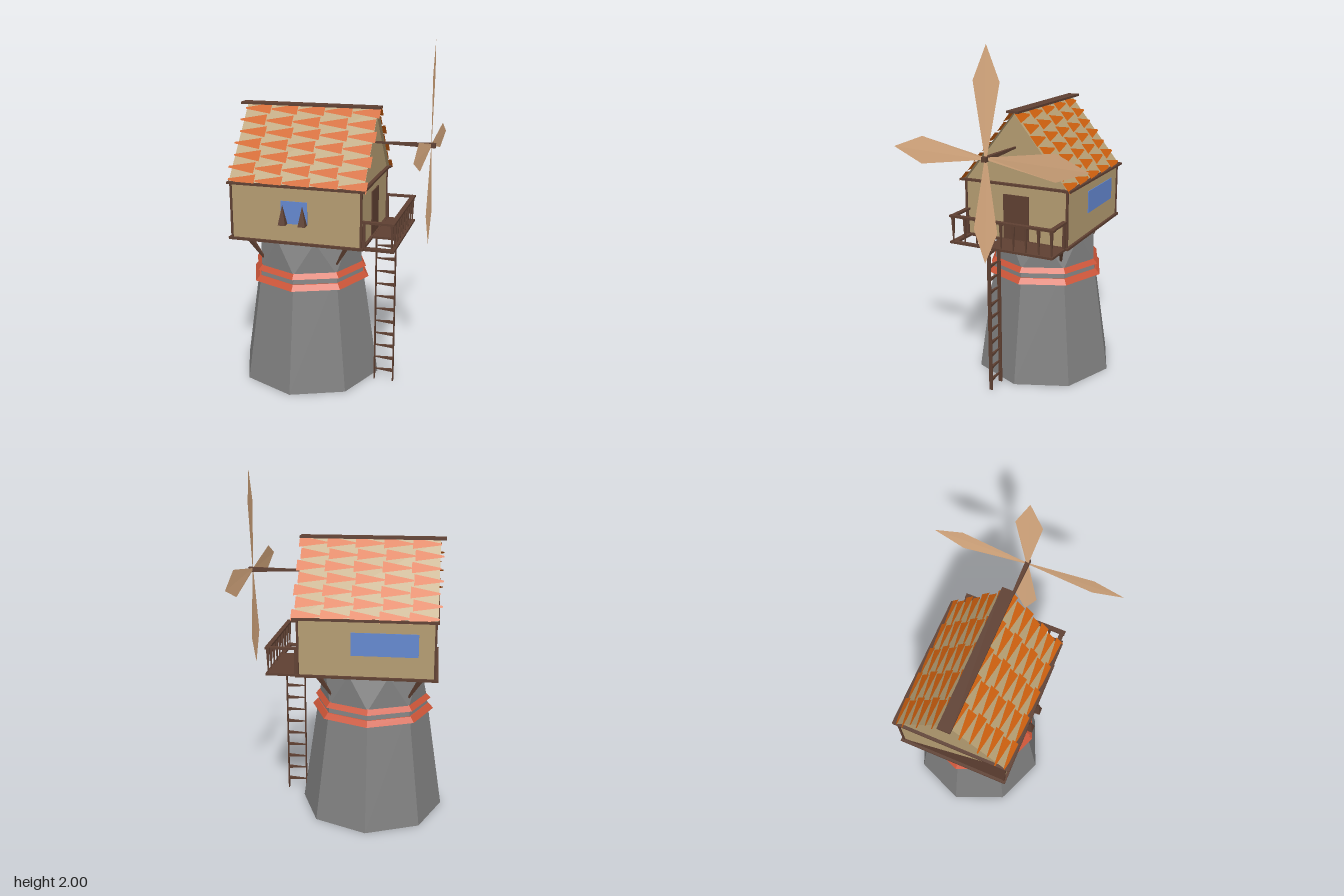
import * as THREE from 'three';

const mat = (color) => new THREE.MeshStandardMaterial({ color, flatShading: true, side: THREE.DoubleSide });
const STONE = mat(0x808080), RED = mat(0xcc5538), WALL = mat(0xb59d72), BROWN = mat(0x5f4032);
const TILE = mat(0xd2620f), ROOF = mat(0xbaa276), SAIL = mat(0xe0b084), GLASS = mat(0x6488d0);
const CX = -0.155; // tower axis

export function createModel() {
  const root = new THREE.Group();

  const add = (name, geo, material, parent = root) => {
    const m = new THREE.Mesh(geo, material);
    m.name = name;
    parent.add(m);
    return m;
  };
  // Box given by its min and max corners
  const box = (name, material, x0, x1, y0, y1, z0, z1) => {
    const m = add(name, new THREE.BoxGeometry(x1 - x0, y1 - y0, z1 - z0), material);
    m.position.set((x0 + x1) / 2, (y0 + y1) / 2, (z0 + z1) / 2);
    return m;
  };
  // Tapered four-sided bar between two points
  const bar = (name, material, a, b, ra, rb) => {
    const p = new THREE.Vector3(...a), q = new THREE.Vector3(...b), d = q.clone().sub(p);
    const m = add(name, new THREE.CylinderGeometry(rb, ra, d.length(), 4).rotateY(Math.PI / 4), material);
    m.position.copy(p).add(q).multiplyScalar(0.5);
    m.quaternion.setFromUnitVectors(new THREE.Vector3(0, 1, 0), d.normalize());
    return m;
  };
  // Flat polygon from 3D points (fan)
  const polygon = (name, material, pts, parent) => {
    const g = new THREE.BufferGeometry();
    g.setAttribute('position', new THREE.Float32BufferAttribute(pts.flat(), 3));
    const index = [];
    for (let i = 1; i < pts.length - 1; i++) index.push(0, i, i + 1);
    g.setIndex(index);
    g.computeVertexNormals();
    return add(name, g, material, parent);
  };

  // Eight-sided stone tower
  const frustum = (name, material, r0, r1, y0, y1, open) => {
    const m = add(name, new THREE.CylinderGeometry(r1, r0, y1 - y0, 8, 1, open), material);
    m.position.set(CX, (y0 + y1) / 2, 0);
  };
  frustum('tower', STONE, 0.425, 0.32, 0, 0.7, false);

  // Tower neck: the top ring is turned half a step, giving triangular facets
  const ring = (i, r, y, turn) => {
    const a = (i + turn) * Math.PI / 4;
    return [CX + r * Math.sin(a), y, r * Math.cos(a)];
  };
  const neck = [];
  for (let i = 0; i < 8; i++) {
    const a = ring(i, 0.32, 0.7, 0), b = ring(i + 1, 0.32, 0.7, 0);
    const c = ring(i, 0.295, 0.89, 0.5), d = ring(i + 1, 0.295, 0.89, 0.5);
    neck.push(...a, ...b, ...c, ...b, ...d, ...c);
  }
  const neckGeo = new THREE.BufferGeometry();
  neckGeo.setAttribute('position', new THREE.Float32BufferAttribute(neck, 3));
  neckGeo.computeVertexNormals();
  add('towerNeck', neckGeo, STONE);

  // Red bands
  frustum('lowerBand', RED, 0.362, 0.335, 0.618, 0.648, false);
  frustum('upperBand', RED, 0.345, 0.315, 0.682, 0.715, false);

  // Corner braces under the house
  for (const sx of [-1, 1]) for (const sz of [-1, 1])
    bar('brace', BROWN, [CX + sx * 0.21, 0.73, sz * 0.2], [CX + sx * 0.3, 0.89, sz * 0.245], 0.006, 0.02);

  // House body with gable, extruded along x
  const gable = new THREE.Shape([[-0.315, 0.9], [0.315, 0.9], [0.315, 1.22], [0, 1.615], [-0.315, 1.22]]
    .map(([x, y]) => new THREE.Vector2(x, y)));
  const body = new THREE.ExtrudeGeometry(gable, { depth: 0.755, bevelEnabled: false });
  add('house', body.rotateY(Math.PI / 2).translate(-0.52, 0, 0), WALL);
  box('floor', BROWN, -0.54, 0.25, 0.887, 0.901, -0.33, 0.33);

  // Trim around the top of the walls
  for (const s of [-1, 1]) {
    box('eaveTrim', BROWN, -0.535, 0.262, 1.215, 1.227, s * 0.325 - 0.02, s * 0.325 + 0.02);
    const x = s > 0 ? 0.245 : -0.525;
    box('gableTrim', BROWN, x - 0.012, x + 0.012, 1.215, 1.227, -0.34, 0.34);
  }
  for (const x of [-0.521, 0.236]) for (const z of [-0.316, 0.316])
    box('cornerPost', BROWN, x - 0.006, x + 0.006, 0.9, 1.22, z - 0.006, z + 0.006);

  // Roof slopes with staggered wedge tiles
  const slope = Math.atan2(0.395, 0.32), slopeLength = Math.hypot(0.395, 0.32);
  for (const s of [-1, 1]) {
    const roof = new THREE.Group();
    roof.name = 'roofSlope';
    root.add(roof);
    // Point on the slope: u along the ridge, v up from the eave, h above the surface
    const at = (u, v, h) => [u, 1.22 + v * Math.sin(slope) + h * Math.cos(slope),
      s * (0.32 - v * Math.cos(slope) + h * Math.sin(slope))];
    const facing = (pts) => (s > 0 ? pts : pts.reverse());
    polygon('roofPanel', ROOF, facing([at(-0.53, 0, 0.004), at(0.25, 0, 0.004),
      at(0.25, slopeLength, 0.004), at(-0.53, slopeLength, 0.004)]), roof);
    for (let r = 0; r < 7; r++) {
      const v = 0.015 + r * 0.077, shift = r % 2 ? -0.012 : 0.004;
      for (let c = 0; c < 5; c++) {
        const u = -0.54 + c * 0.161 + shift;
        const w = 0.036;
        polygon('roofTile', TILE, facing([at(u, v - 0.005, 0.008), at(u + 0.16, v - w, 0.016),
          at(u + 0.16, v + w, 0.016), at(u, v + 0.005, 0.008)]), roof);
      }
    }
  }
  box('ridgeBoard', BROWN, -0.562, 0.267, 1.62, 1.633, -0.036, 0.036);

  // Windows, shutters, door and rear panel
  box('frontWindow', GLASS, -0.225, -0.07, 1.005, 1.135, 0.31, 0.319);
  box('backWindow', GLASS, -0.43, -0.06, 1.02, 1.15, -0.319, -0.31);
  for (const x of [-0.205, -0.09]) {
    const shutter = add('shutter', new THREE.ConeGeometry(0.03, 0.115, 4).rotateY(Math.PI / 4), BROWN);
    shutter.position.set(x, 1.063, 0.345);
  }
  box('door', BROWN, 0.23, 0.241, 0.9, 1.16, -0.085, 0.075);
  polygon('sidePanel', BROWN, [[-0.524, 0.9, -0.315], [-0.524, 0.9, 0.315], [-0.524, 1.22, 0.315]]);

  // Balcony with a ladder opening
  box('balconyFloor', BROWN, 0.24, 0.42, 0.887, 0.9, -0.315, 0.09);
  box('balconyFrame', BROWN, 0.393, 0.42, 0.887, 0.9, 0.09, 0.32);
  box('balconyFrame', BROWN, 0.24, 0.42, 0.887, 0.9, 0.282, 0.318);
  box('frontRail', BROWN, 0.393, 0.42, 1.04, 1.052, -0.322, 0.322);
  for (const s of [-1, 1]) {
    box('sideRail', BROWN, 0.24, 0.42, 1.04, 1.052, s * 0.305 - 0.013, s * 0.305 + 0.013);
    bar('balconyPost', BROWN, [0.25, 0.9, s * 0.305], [0.25, 1.045, s * 0.305], 0.012, 0.008);
  }
  for (let i = -4; i <= 4; i++)
    bar('baluster', BROWN, [0.406, 0.9, i * 0.076], [0.406, 1.045, i * 0.076], 0.004, 0.012);

  // Ladder
  for (const x of [0.272, 0.385]) box('ladderRail', BROWN, x - 0.003, x + 0.003, 0, 0.89, 0.08, 0.102);
  for (let i = 0; i < 11; i++) {
    const y = 0.065 + i * 0.0785;
    bar('ladderRung', BROWN, [0.272, y, 0.09], [0.385, y, 0.09], 0.004, 0.012);
  }

  // Shaft and four diamond sails
  bar('shaft', BROWN, [0.2, 1.43, 0], [0.577, 1.428, 0], 0.006, 0.019);
  const sails = new THREE.Group();
  sails.name = 'sails';
  sails.position.set(0.553, 1.43, 0);
  sails.rotation.x = -0.026;
  root.add(sails);
  for (let i = 0; i < 4; i++) {
    const sail = polygon('sail', SAIL, [[0, 0, 0.006], [0, 0, -0.006], [-0.005, 0.39, -0.074],
      [0.002, 0.57, 0], [0.005, 0.39, 0.074]], sails);
    sail.rotation.x = i * Math.PI / 2;
    // wind so the outer side faces +x
    sail.geometry.index.array.reverse();
    sail.geometry.computeVertexNormals();
  }
  return root;
}
